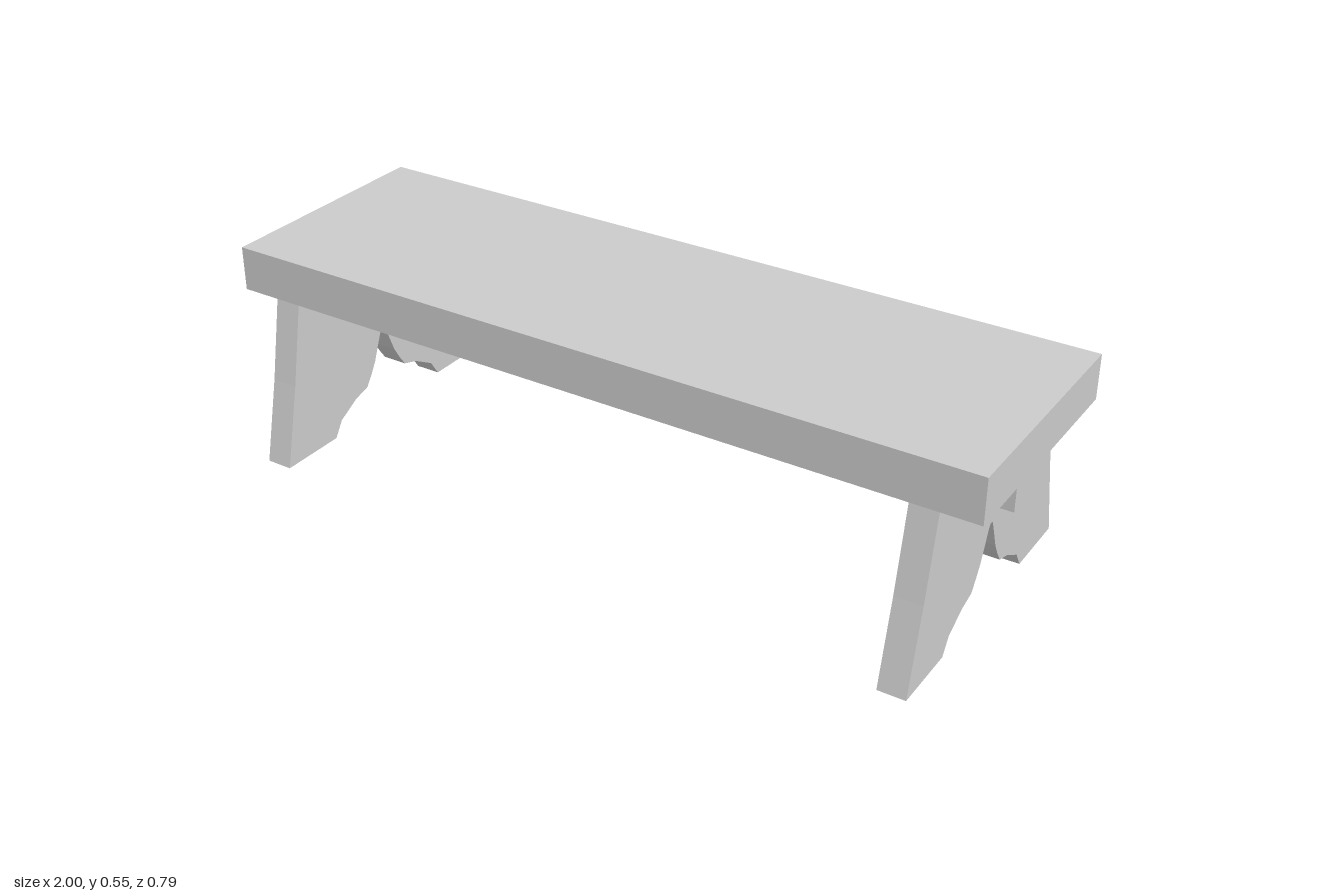
import * as THREE from 'three';

export function createModel() {
  const group = new THREE.Group();
  const material = new THREE.MeshStandardMaterial({ color: 0xcccccc, flatShading: true });

  const add = (name, geometry, x, y, z) => {
    const mesh = new THREE.Mesh(geometry, material);
    mesh.name = name;
    mesh.position.set(x, y, z);
    group.add(mesh);
  };

  // Seat plank
  add('seat', new THREE.BoxGeometry(2, 0.115, 0.618), 0, 0.4875, 0);

  // Stretcher rail whose ends pass through both legs
  add('stretcher', new THREE.BoxGeometry(1.917, 0.075, 0.039), -0.0015, 0.3275, 0);

  // Half outline of a leg board (z, y): splayed outer edge, then the scalloped cut-out
  const half = [
    [0.301, 0.43], [0.343, 0.215], [0.393, 0],
    [0.213, 0], [0.187, 0.041], [0.125, 0.076], [0.078, 0.09], [0.058, 0.119],
    [0.04, 0.15], [0.024, 0.191], [0.009, 0.228], [0.004, 0.233],
  ];
  const mirrored = half.map(([z, y]) => [-z, y]).reverse();
  const outline = [...half, ...mirrored].map(([z, y]) => new THREE.Vector2(z, y));

  // Leg boards
  const thickness = 0.07;
  const legGeometry = new THREE.ExtrudeGeometry(new THREE.Shape(outline), {
    depth: thickness,
    bevelEnabled: false,
  });
  legGeometry.translate(0, 0, -thickness / 2);
  legGeometry.rotateY(-Math.PI / 2);
  add('leftLeg', legGeometry, 0.866, 0, 0);
  add('rightLeg', legGeometry, -0.869, 0, 0);

  return group;
}
